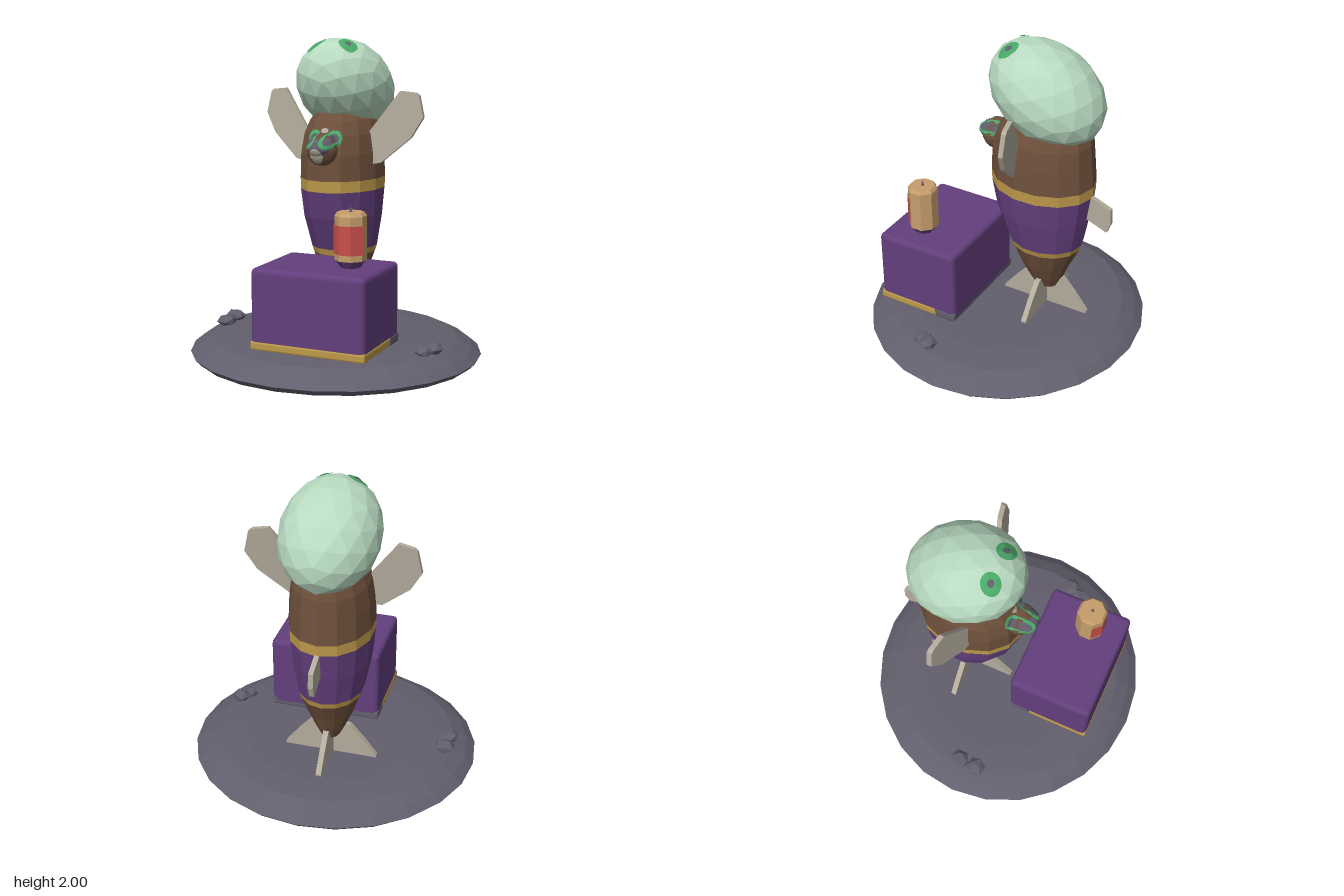
import * as THREE from 'three';
import { RoundedBoxGeometry } from 'three/addons/geometries/RoundedBoxGeometry.js';

const paint = (name, color, side = THREE.FrontSide) => {
  const m = new THREE.MeshStandardMaterial({ color, flatShading: true, side });
  m.name = name;
  return m;
};

export function createModel() {
  const slate = paint('slate', 0x625e6d);
  const brown = paint('brown', 0x6e503c);
  const purple = paint('purple', 0x633f7d);
  const gold = paint('gold', 0xbd994a);
  const mint = paint('mint', 0xb8dac0);
  const cream = paint('cream', 0xb3ac9c);
  const green = paint('green', 0x4aa869);
  const tan = paint('tan', 0xc79e6c);
  const red = paint('red', 0xc94f4a, THREE.DoubleSide);

  const CX = -0.045; // centre line of the creature
  const root = new THREE.Group();
  root.name = 'creatureOnIsland';
  const add = (name, geometry, material, x = 0, y = 0, z = 0) => {
    const mesh = new THREE.Mesh(geometry, material);
    mesh.name = name;
    mesh.position.set(x, y, z);
    root.add(mesh);
    return mesh;
  };

  // Moves every vertex of a geometry by a rule
  const warp = (geometry, rule) => {
    const p = geometry.attributes.position;
    const v = new THREE.Vector3();
    for (let i = 0; i < p.count; i++) {
      rule(v.fromBufferAttribute(p, i));
      p.setXYZ(i, v.x, v.y, v.z);
    }
    geometry.computeVertexNormals();
    return geometry;
  };

  // Skin over elliptical rings given as [y, centre z, radius x, radius z]
  const loft = (rings, sides = 14) => {
    const pos = [], index = [];
    rings.forEach(([y, zc, rx, rz], r) => {
      for (let i = 0; i < sides; i++) {
        const a = (i / sides) * Math.PI * 2;
        pos.push(CX + rx * Math.sin(a), y, zc + rz * Math.cos(a));
        if (r === 0) continue;
        const j = (i + 1) % sides, lo = (r - 1) * sides, hi = r * sides;
        index.push(lo + i, lo + j, hi + j, lo + i, hi + j, hi + i);
      }
    });
    const g = new THREE.BufferGeometry();
    g.setAttribute('position', new THREE.Float32BufferAttribute(pos, 3));
    g.setIndex(index);
    g.computeVertexNormals();
    return g;
  };

  // Thin plate cut from an outline, centred on z = 0
  const plate = (points, thickness) => {
    const shape = new THREE.Shape(points.map(([x, y]) => new THREE.Vector2(x, y)));
    return new THREE.ExtrudeGeometry(shape, { depth: thickness, bevelEnabled: false })
      .translate(0, 0, -thickness / 2);
  };

  // Island
  const rim = [[0, 0], [0.72, 0], [0.88, 0.04], [0.915, 0.075], [0.86, 0.12],
    [0.77, 0.165], [0.6, 0.185], [0, 0.2]].map(([x, y]) => new THREE.Vector2(x, y));
  add('island', new THREE.LatheGeometry(rim, 24).scale(1, 1, 0.965), slate);

  // Pebbles
  [[-0.73, 0.195, -0.03, 0.068], [-0.73, 0.19, 0.09, 0.066],
    [0.71, 0.195, 0.165, 0.062], [0.67, 0.185, 0.225, 0.058]].forEach(([x, y, z, r], i) => {
    const g = new THREE.IcosahedronGeometry(r, 0).rotateY(i * 1.3).scale(1, 0.65, 1);
    add('pebble', g, slate, x, y, z);
  });

  // Body, split into bands of colour
  const rings = [[0.335, -0.26, 0, 0], [0.34, -0.26, 0.06, 0.075], [0.42, -0.255, 0.1, 0.12],
    [0.52, -0.25, 0.145, 0.165], [0.655, -0.25, 0.192, 0.23], [0.695, -0.25, 0.205, 0.242],
    [0.9, -0.23, 0.242, 0.302], [1.07, -0.225, 0.256, 0.332], [1.14, -0.225, 0.258, 0.334],
    [1.3, -0.22, 0.252, 0.325], [1.42, -0.23, 0.235, 0.305], [1.5, -0.24, 0.205, 0.27],
    [1.57, -0.25, 0.16, 0.22], [1.58, -0.25, 0, 0]];
  add('lowerBody', loft(rings.slice(0, 5)), brown);
  add('lowerBelt', loft(rings.slice(4, 6)), gold);
  add('waistWrap', loft(rings.slice(5, 8)), purple);
  add('upperBelt', loft(rings.slice(7, 9)), gold);
  const chest = add('upperBody', loft(rings.slice(8)), brown);

  // Domed head, tilted back and trimmed flat underneath
  const headGeometry = new THREE.IcosahedronGeometry(1, 2).scale(0.303, 0.275, 0.385)
    .rotateX(-0.52).translate(-0.038, 1.705, -0.243);
  const head = add('head', warp(headGeometry, (v) => {
    v.y = Math.max(v.y, 1.541 + 0.175 * v.z);
  }), mint);

  // Snout with a darker nose on top
  const snout = add('snout', warp(new THREE.IcosahedronGeometry(1, 2), (v) =>
    v.set(CX + v.x * 0.098, 1.335 + v.y * 0.098, 0.1 + v.z * 0.09)), brown);
  const nose = add('nose', warp(new THREE.IcosahedronGeometry(1, 2), (v) =>
    v.set(CX + v.x * 0.083, 1.35 + v.y * 0.06, 0.132 + v.z * 0.078)), slate);

  // Painted discs and rings laid over the surface, from above or from the front
  root.updateMatrixWorld(true);
  const ray = new THREE.Raycaster();
  const drape = (name, material, targets, fromAbove, a, b, r0, r1, lift, squash = 1) => {
    const dir = fromAbove ? new THREE.Vector3(0, -1, 0) : new THREE.Vector3(0, 0, -1);
    const g = new THREE.RingGeometry(r0, r1, 24, 4);
    let last = null;
    add(name, warp(g, (v) => {
      const from = fromAbove ? new THREE.Vector3(a + v.x, 3, b - v.y * squash)
        : new THREE.Vector3(a + v.x, b + v.y * squash, 3);
      ray.set(from, dir);
      const hit = ray.intersectObjects(targets, false)[0];
      const depth = hit ? hit.distance : last ?? 3;
      last = depth;
      v.copy(from).addScaledVector(dir, depth - lift);
    }), material);
  };
  for (const s of [-1, 1]) {
    drape('eyePatch', green, [head], true, -0.04 + s * 0.105, -0.04, 0.018, 0.058, 0.008);
    drape('pupil', slate, [head], true, -0.04 + s * 0.105, -0.04, 0, 0.02, 0.009);
    const face = [chest, snout, nose];
    drape('faceRing', green, face, false, CX + s * 0.064, 1.4, 0.028, 0.048, 0.008, 1.1);
    drape('faceSpot', slate, face, false, CX + s * 0.064, 1.4, 0, 0.03, 0.008, 1.1);
  }
  drape('muzzlePatch', cream, [snout, nose], false, CX, 1.305, 0, 0.042, 0.008, 1.15);
  drape('browPatch', cream, [chest], false, CX, 1.45, 0, 0.025, 0.008, 0.6);

  // Raised side fins, swept back
  const finOutline = [[0.2, 1.26], [0.24, 1.235], [0.29, 1.245], [0.465, 1.4],
    [0.535, 1.525], [0.505, 1.66], [0.485, 1.675], [0.39, 1.685], [0.2, 1.42]];
  for (const s of [-1, 1]) {
    const g = plate(finOutline.map(([u, y]) => [s * u, y]), 0.03);
    warp(g, (v) => {
      v.z += -0.09 - 0.22 * Math.abs(v.x) - 0.08 * (v.y - 1.24);
      v.x += CX;
    });
    add(s > 0 ? 'leftFin' : 'rightFin', g, cream);
  }

  // Back fin: outline drawn in z and y
  add('backFin', plate([[0.5, 1.085], [0.56, 1.075], [0.685, 1.025], [0.69, 0.93],
    [0.665, 0.862], [0.545, 0.91], [0.48, 0.93]], 0.03).rotateY(Math.PI / 2), cream, CX);

  // Four tail fins in a cross
  const tail = plate([[0, 0.2], [0.295, 0.2], [0.295, 0.212], [0.21, 0.32],
    [0.125, 0.415], [0, 0.43]], 0.034);
  for (let i = 0; i < 4; i++) {
    add('tailFin', tail, cream, CX, 0, -0.255).rotation.y = (i * Math.PI) / 2;
  }

  // Chest-shaped box with a gold foot band
  add('box', new RoundedBoxGeometry(0.72, 0.49, 0.545, 2, 0.03), purple, 0.11, 0.45, 0.393);
  add('boxBand', new RoundedBoxGeometry(0.728, 0.055, 0.41, 1, 0.012), gold, 0.11, 0.233, 0.464);
  add('boxBandBack', new RoundedBoxGeometry(0.726, 0.06, 0.145, 1, 0.012), slate, 0.11, 0.232, 0.193);

  // Candle with a wrapped label
  const turn = Math.PI / 8;
  const drum = (top, bottom, height) =>
    new THREE.CylinderGeometry(top, bottom, height, 8, 1, false, turn);
  add('candleFoot', drum(0.09, 0.06, 0.045), purple, 0.292, 0.729, 0.44);
  add('candle', drum(0.094, 0.094, 0.26), tan, 0.292, 0.88, 0.44);
  add('candleTop', drum(0.08, 0.094, 0.02), tan, 0.292, 1.02, 0.44);
  add('candleLabel', new THREE.CylinderGeometry(0.099, 0.099, 0.17, 3, 1, true, -3 * turn, 6 * turn),
    red, 0.292, 0.873, 0.44);
  add('wick', new THREE.ConeGeometry(0.012, 0.04, 5), slate, 0.292, 1.045, 0.44);

  return root;
}
